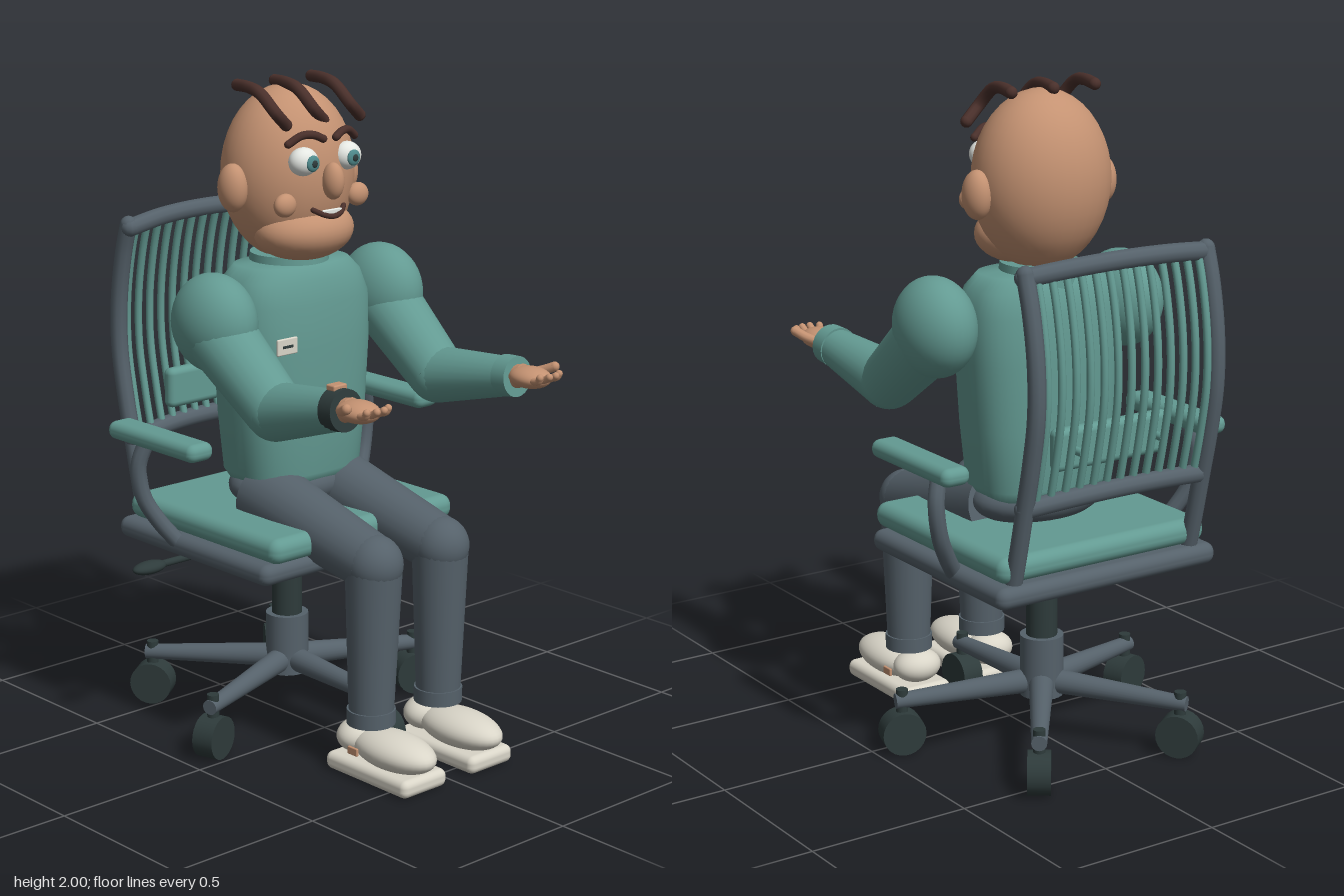
import * as THREE from 'three';
import { RoundedBoxGeometry } from 'three/addons/geometries/RoundedBoxGeometry.js';

const material = (name, color) => Object.assign(new THREE.MeshStandardMaterial({ color }), { name });
const V = (x, y, z) => new THREE.Vector3(x, y, z);

export function createModel() {
  const skin = material('skin', 0xc49272);
  const teal = material('teal cloth', 0x639a92);
  const slate = material('slate', 0x55616a);
  const dark = material('dark plastic', 0x2e3b3b);
  const cream = material('cream', 0xd9d5c8);
  const brown = material('hair brown', 0x4a302b);
  const white = material('eye white', 0xe8ebe6);
  const iris = material('iris', 0x4f8a8c);

  const model = new THREE.Group();
  const figure = new THREE.Group();
  const chair = new THREE.Group();
  figure.name = 'seatedFigure';
  chair.name = 'officeChair';
  model.add(figure, chair);
  model.position.x = 0.01;

  // Helpers
  const add = (parent, name, geometry, mat, p = [0, 0, 0]) => {
    const mesh = new THREE.Mesh(geometry, mat);
    mesh.name = name;
    mesh.position.set(...p);
    parent.add(mesh);
    return mesh;
  };
  const ball = (parent, name, mat, p, r) => {
    const mesh = add(parent, name, new THREE.SphereGeometry(1, 32, 20), mat, p);
    mesh.scale.set(...r);
    return mesh;
  };
  const block = (parent, name, mat, p, s, r) =>
    add(parent, name, new RoundedBoxGeometry(...s, 3, r), mat, p);
  const rod = (parent, name, mat, a, b, ra, rb = ra) => {
    const from = V(...a), to = V(...b), d = to.clone().sub(from);
    const mesh = add(parent, name, new THREE.CylinderGeometry(rb, ra, d.length(), 24), mat,
      from.clone().add(to).multiplyScalar(0.5).toArray());
    mesh.quaternion.setFromUnitVectors(V(0, 1, 0), d.normalize());
    return mesh;
  };
  const tube = (parent, name, mat, pts, r, seg = 24) => {
    const curve = new THREE.CatmullRomCurve3(pts.map(p => V(...p)));
    add(parent, name, new THREE.TubeGeometry(curve, seg, r, 10), mat);
    for (const p of [pts[0], pts[pts.length - 1]]) {
      add(parent, name + 'End', new THREE.SphereGeometry(r, 10, 8), mat, p);
    }
  };

  // Torso: squarish rings [y, half width, half depth], closed at both ends
  const rings = [[0.78, 0.001, 0.001], [0.78, 0.19, 0.13], [0.82, 0.215, 0.152], [1.0, 0.235, 0.16],
    [1.2, 0.25, 0.162], [1.34, 0.25, 0.155], [1.41, 0.225, 0.135], [1.45, 0.185, 0.115], [1.455, 0.001, 0.001]];
  const n = 48, pos = [], index = [];
  const power = v => Math.sign(v) * Math.abs(v) ** 0.72;
  rings.forEach(([y, w, d], j) => {
    for (let i = 0; i < n; i++) {
      const t = i / n * Math.PI * 2;
      pos.push(w * power(Math.sin(t)), y, -0.16 + d * power(Math.cos(t)));
      if (j) {
        const a = (j - 1) * n + i, b = (j - 1) * n + (i + 1) % n;
        index.push(a, b, b + n, a, b + n, a + n);
      }
    }
  });
  const torso = new THREE.BufferGeometry();
  torso.setAttribute('position', new THREE.Float32BufferAttribute(pos, 3));
  torso.setIndex(index);
  torso.computeVertexNormals();
  add(figure, 'torso', torso, teal);
  rod(figure, 'collar', teal, [0, 1.4, -0.17], [0, 1.475, -0.17], 0.125, 0.118);
  ball(figure, 'pelvis', slate, [0, 0.77, -0.16], [0.22, 0.085, 0.15]);
  block(figure, 'badge', cream, [-0.16, 1.235, 0.001], [0.078, 0.05, 0.009], 0.004);
  block(figure, 'badgeStripe', dark, [-0.16, 1.235, 0.006], [0.04, 0.008, 0.004], 0.001);

  // Head and face
  ball(figure, 'head', skin, [0, 1.715, -0.175], [0.21, 0.262, 0.187]);
  ball(figure, 'jaw', skin, [0, 1.55, -0.105], [0.165, 0.092, 0.13]);
  ball(figure, 'nose', skin, [0, 1.71, 0.025], [0.031, 0.055, 0.036]);
  tube(figure, 'smile', brown, [[-0.06, 1.628, 0.005], [-0.03, 1.612, 0.024], [0, 1.606, 0.028],
    [0.03, 1.612, 0.024], [0.06, 1.628, 0.005]], 0.008);
  block(figure, 'teeth', white, [0, 1.619, 0.02], [0.075, 0.016, 0.009], 0.004);
  for (const s of [-1, 1]) {
    ball(figure, 'ear', skin, [s * 0.218, 1.69, -0.17], [0.042, 0.072, 0.05]);
    ball(figure, 'cheek', skin, [s * 0.143, 1.648, -0.025], [0.038, 0.035, 0.026]);
    ball(figure, 'eyeball', white, [s * 0.085, 1.772, -0.01], [0.047, 0.042, 0.04]);
    ball(figure, 'iris', iris, [s * 0.08, 1.77, 0.027], [0.024, 0.024, 0.009]);
    ball(figure, 'pupil', dark, [s * 0.08, 1.77, 0.034], [0.011, 0.011, 0.005]);
    tube(figure, 'eyebrow', brown, [[s * 0.13, 1.825, -0.025], [s * 0.09, 1.848, -0.01],
      [s * 0.055, 1.848, 0.002], [s * 0.025, 1.835, 0.01]], 0.012);
  }
  for (const x of [-0.17, -0.025, 0.12]) {
    tube(figure, 'hairStrand', brown, [[x + 0.015, 1.98, -0.22], [x - 0.005, 1.982, -0.14],
      [x - 0.015, 1.97, -0.08], [x, 1.92, -0.035], [x + 0.05, 1.878, -0.045]], 0.018);
  }

  for (const s of [-1, 1]) {
    // Arm with palm turned up
    const arm = new THREE.Group();
    arm.name = s > 0 ? 'leftArm' : 'rightArm';
    figure.add(arm);
    const h = s > 0 ? 1.152 : 1.172;
    const elbow = [s * 0.325, 1.095, 0.14], wrist = [s * 0.342, h - 0.01, 0.44];
    ball(arm, 'shoulder', teal, [s * 0.333, 1.312, -0.122], [0.112, 0.148, 0.148]);
    rod(arm, 'upperArm', teal, [s * 0.333, 1.28, -0.1], elbow, 0.105, 0.088);
    ball(arm, 'elbow', teal, elbow, [0.088, 0.086, 0.086]);
    rod(arm, 'forearm', teal, elbow, wrist, 0.087, 0.057);
    rod(arm, s > 0 ? 'cuff' : 'watchStrap', s > 0 ? teal : dark,
      [s * 0.341, h - 0.012, 0.405], [s * 0.342, h - 0.008, 0.455], 0.063, 0.061);
    if (s < 0) block(arm, 'watchFace', skin, [-0.342, h + 0.053, 0.415], [0.05, 0.018, 0.036], 0.005);
    ball(arm, 'palm', skin, [s * 0.343, h, 0.505], [0.056, 0.032, 0.07]);
    rod(arm, 'wrist', skin, wrist, [s * 0.343, h, 0.48], 0.035);
    for (let i = 0; i < 4; i++) {
      const k = i - 1.5, reach = 0.612 - Math.abs(k) * 0.012;
      tube(arm, 'finger', skin, [[s * (0.343 + k * 0.022), h, 0.54], [s * (0.343 + k * 0.025), h + 0.006, 0.575],
        [s * (0.343 + k * 0.027), h + 0.018, reach - 0.012]], 0.011, 8);
    }
    tube(arm, 'thumb', skin, [[s * 0.375, h, 0.47], [s * 0.398, h + 0.01, 0.5], [s * 0.415, h + 0.025, 0.535]], 0.015, 8);

    // Leg, bent at the knee
    const leg = new THREE.Group();
    leg.name = s > 0 ? 'leftLeg' : 'rightLeg';
    figure.add(leg);
    const knee = [s * 0.135, 0.645, 0.35];
    rod(leg, 'thigh', slate, [s * 0.128, 0.752, -0.144], knee, 0.108, 0.086);
    ball(leg, 'knee', slate, knee, [0.086, 0.088, 0.088]);
    rod(leg, 'shin', slate, knee, [s * 0.138, 0.16, 0.345], 0.085, 0.066);
    rod(leg, 'trouserCuff', slate, [s * 0.138, 0.155, 0.345], [s * 0.138, 0.2, 0.345], 0.073);

    // Shoe
    block(leg, 'sole', cream, [s * 0.137, 0.028, 0.408], [0.178, 0.055, 0.345], 0.022);
    ball(leg, 'shoeUpper', cream, [s * 0.137, 0.095, 0.445], [0.084, 0.056, 0.155]);
    ball(leg, 'shoeHeel', cream, [s * 0.137, 0.105, 0.3], [0.078, 0.052, 0.065]);
    block(leg, 'shoeTag', skin, [s * 0.215, 0.085, 0.35], [0.009, 0.024, 0.04], 0.003);
  }

  // Seat
  block(chair, 'cushion', teal, [0, 0.678, -0.165], [0.73, 0.078, 0.69], 0.035);
  block(chair, 'seatBase', slate, [0, 0.607, -0.188], [0.775, 0.066, 0.695], 0.03);
  block(chair, 'underPlate', dark, [0, 0.575, -0.188], [0.7, 0.012, 0.62], 0.005);

  // Column, five spokes and casters
  rod(chair, 'column', dark, [0, 0.3, -0.185], [0, 0.575, -0.185], 0.047);
  rod(chair, 'columnSleeve', slate, [0, 0.14, -0.185], [0, 0.33, -0.185], 0.066);
  for (let i = 0; i < 5; i++) {
    const spoke = new THREE.Group();
    spoke.name = 'spokeAndCaster';
    spoke.position.z = -0.185;
    spoke.rotation.y = i * Math.PI * 2 / 5;
    chair.add(spoke);
    rod(spoke, 'spoke', slate, [0, 0.185, 0.02], [0, 0.163, 0.455], 0.038, 0.023);
    rod(spoke, 'casterStem', dark, [0, 0.08, 0.435], [0, 0.2, 0.435], 0.018);
    rod(spoke, 'casterWheel', dark, [-0.034, 0.066, 0.435], [0.034, 0.066, 0.435], 0.066);
  }

  // Height lever
  rod(chair, 'leverRod', dark, [-0.26, 0.553, -0.28], [-0.46, 0.553, -0.28], 0.011);
  ball(chair, 'leverHandle', dark, [-0.465, 0.553, -0.28], [0.06, 0.02, 0.03]);

  // Armrests and back posts
  const backCurve = [[1.54, -0.545], [1.45, -0.572], [1.3, -0.598], [1.15, -0.6], [1.0, -0.575], [0.87, -0.545]];
  for (const s of [-1, 1]) {
    block(chair, 'armPad', teal, [s * 0.457, 0.958, -0.23], [0.093, 0.055, 0.4], 0.025);
    tube(chair, 'armSupport', slate, [[s * 0.445, 0.935, -0.31], [s * 0.464, 0.86, -0.325], [s * 0.45, 0.76, -0.32],
      [s * 0.41, 0.68, -0.295], [s * 0.365, 0.615, -0.265]], 0.025);
    tube(chair, 'backPost', slate, [...backCurve.map(([y, z]) => [s * 0.313, y, z]),
      [s * 0.313, 0.74, -0.515], [s * 0.313, 0.62, -0.485]], 0.026, 40);
  }

  // Rails, slats and lumbar pad
  for (const [name, y, z] of [['topRail', 1.53, -0.54], ['bottomRail', 0.87, -0.54]]) {
    tube(chair, name, slate, [[-0.313, y, z], [-0.16, y + 0.015, z - 0.025], [0, y + 0.02, z - 0.032],
      [0.16, y + 0.015, z - 0.025], [0.313, y, z]], 0.028);
  }
  for (let i = 0; i < 13; i++) {
    const x = (i - 6) * 0.0465, bow = 0.015 * (1 - (x / 0.3) ** 2);
    tube(chair, 'backSlat', teal, backCurve.map(([y, z]) => [x, y + bow, z - bow]), 0.0115, 20);
  }
  block(chair, 'lumbarPad', teal, [0, 1.015, -0.515], [0.4, 0.125, 0.045], 0.02);
  for (const s of [-1, 1]) rod(chair, 'lumbarMount', teal, [s * 0.14, 1.015, -0.515], [s * 0.14, 1.015, -0.585], 0.012);

  return model;
}
